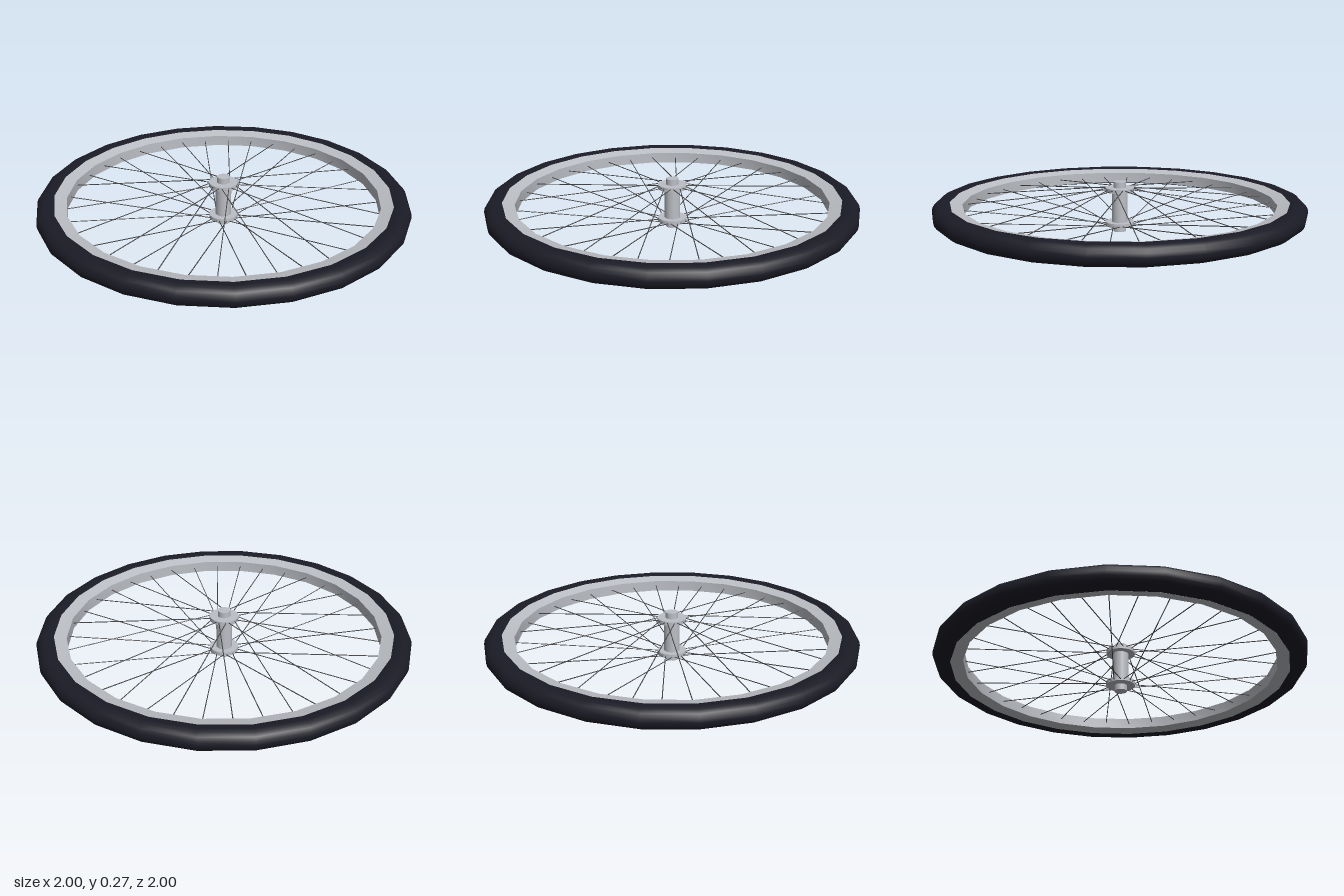
import * as THREE from 'three';
import { toCreasedNormals } from 'three/addons/utils/BufferGeometryUtils.js';

const MID = 0.137;      // height of the wheel's centre plane
const SIDES = 24;       // facets around tyre and rim
const SPOKES = 36;

const mat = (name, color) => {
  const m = new THREE.MeshStandardMaterial({ color });
  m.name = name;
  return m;
};

export function createModel() {
  const wheel = new THREE.Group();
  wheel.name = 'wheel';

  const rubber = mat('dark rubber', 0x1b1b26);
  const alloy = mat('light alloy', 0xbcbfc5);
  const steel = mat('spoke steel', 0x48484a);

  const add = (parent, name, geometry, material, y = 0) => {
    const mesh = new THREE.Mesh(geometry, material);
    mesh.name = name;
    mesh.position.y = y;
    parent.add(mesh);
    return mesh;
  };
  const lathe = (pts) => new THREE.LatheGeometry(pts.map(([r, y]) => new THREE.Vector2(r, y)), SIDES);

  // Tyre: rounded outer section, closed against the rim
  const upper = [[1, 0], [0.996, 0.02], [0.985, 0.037], [0.967, 0.049], [0.945, 0.053], [0.92, 0.051], [0.9, 0.044]];
  const lower = upper.slice(1).reverse().map(([r, y]) => [r, -y]);
  add(wheel, 'tyre', lathe([...lower, ...upper]), rubber, MID);

  // Rim: side walls slope down to a narrower inner wall
  const rim = lathe([[0.84, -0.031], [0.905, -0.046], [0.905, 0.046], [0.84, 0.031], [0.84, -0.031]]);
  add(wheel, 'rim', toCreasedNormals(rim, 0.6), alloy, MID);

  // Hub: axle, barrel and two flanges
  const hub = new THREE.Group();
  hub.name = 'hub';
  wheel.add(hub);
  add(hub, 'axle', new THREE.CylinderGeometry(0.034, 0.034, 0.274, 16), alloy, MID);
  add(hub, 'barrel', new THREE.CylinderGeometry(0.043, 0.043, 0.19, 16), alloy, MID);
  for (const side of [1, -1]) {
    add(hub, side > 0 ? 'topFlange' : 'bottomFlange',
      new THREE.CylinderGeometry(0.078, 0.078, 0.022, 20), alloy, MID + side * 0.094);
  }

  // Spokes: alternate between flanges, crossing in leading and trailing pairs
  const spokes = new THREE.Group();
  spokes.name = 'spokes';
  wheel.add(spokes);
  const up = new THREE.Vector3(0, 1, 0);
  for (let i = 0; i < SPOKES; i++) {
    const angle = (i / SPOKES) * Math.PI * 2;
    const hubAngle = angle + (i % 4 < 2 ? -1 : 1) * Math.PI / 7;
    const side = i % 2 ? -1 : 1;
    const a = new THREE.Vector3(0.072 * Math.cos(hubAngle), MID + side * 0.098, 0.072 * Math.sin(hubAngle));
    const b = new THREE.Vector3(0.845 * Math.cos(angle), MID, 0.845 * Math.sin(angle));
    const dir = b.clone().sub(a);
    const spoke = add(spokes, 'spoke', new THREE.CylinderGeometry(0.0025, 0.0025, dir.length(), 6), steel);
    spoke.position.copy(a).add(b).multiplyScalar(0.5);
    spoke.quaternion.setFromUnitVectors(up, dir.normalize());
  }

  return wheel;
}
